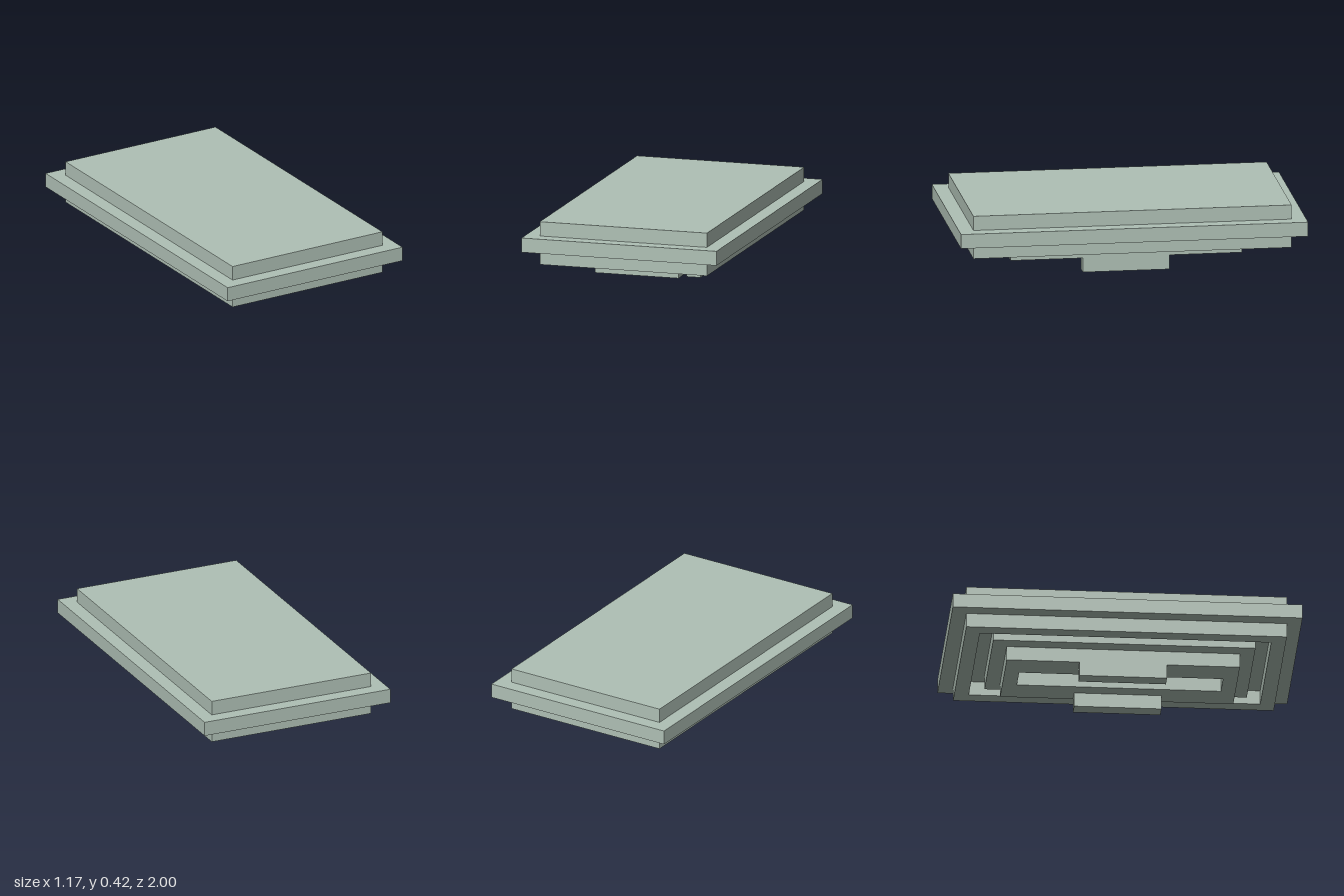
import * as THREE from 'three';

const U = 1 / 12; // every size is a whole number of these steps

export function createModel() {
  const group = new THREE.Group();
  const sage = new THREE.MeshStandardMaterial({ color: 0xafc0b5 });
  sage.name = 'sage';

  const add = (name, geometry) => {
    const mesh = new THREE.Mesh(geometry, sage);
    mesh.name = name;
    group.add(mesh);
    return mesh;
  };

  // Solid slab: half width, half length and layer index counted from the ground
  const slab = (name, hx, hz, layer) => {
    const mesh = add(name, new THREE.BoxGeometry(2 * hx * U, U, 2 * hz * U));
    mesh.position.y = (layer + 0.5) * U;
    return mesh;
  };

  const rectangle = (path, hx, hz) => {
    path.moveTo(-hx * U, -hz * U);
    path.lineTo(hx * U, -hz * U);
    path.lineTo(hx * U, hz * U);
    path.lineTo(-hx * U, hz * U);
    path.closePath();
    return path;
  };

  // Rectangular frame with an opening, one layer high
  const frame = (name, hx, hz, ix, iz, layer) => {
    const shape = rectangle(new THREE.Shape(), hx, hz);
    shape.holes.push(rectangle(new THREE.Path(), ix, iz));
    const geometry = new THREE.ExtrudeGeometry(shape, { depth: U, bevelEnabled: false });
    geometry.rotateX(-Math.PI / 2);
    add(name, geometry).position.y = layer * U;
  };

  // Stepped upper body
  slab('topSlab', 6, 11, 4);
  slab('wideSlab', 7, 12, 3);

  // Underside: outer rim, groove, inner plinth
  frame('lowerRim', 6, 11, 5, 10, 2);
  slab('innerPlinth', 4, 9, 2);

  // Slotted base with two foot rails
  frame('slottedBase', 3, 8, 1, 7, 1);
  for (const [name, side] of [['leftFoot', 1], ['rightFoot', -1]]) {
    slab(name, 0.5, 3, 0).position.x = side * 2.5 * U;
  }

  return group;
}
